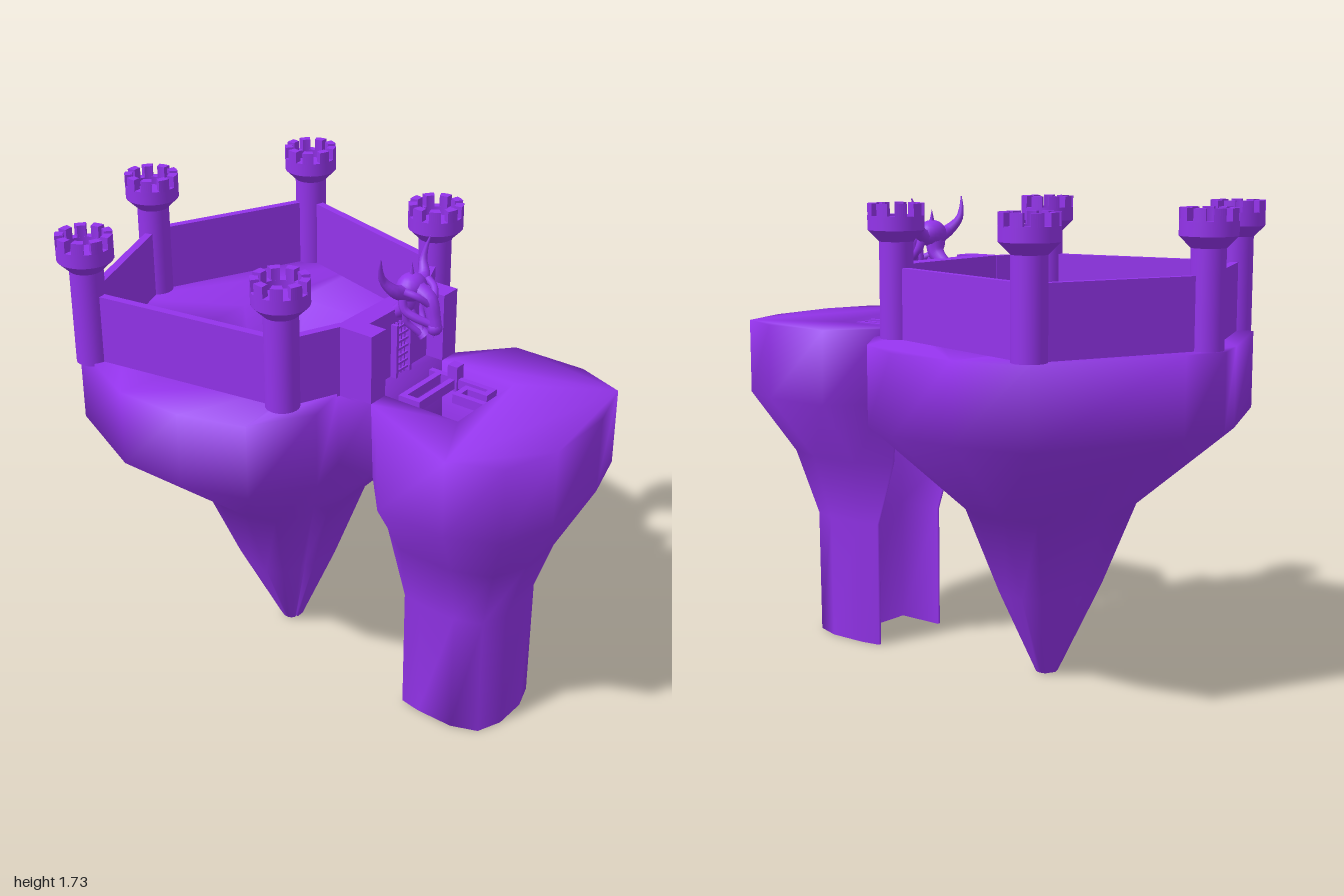
import * as THREE from 'three';

const material = new THREE.MeshStandardMaterial({ color: 0x9333ea, side: THREE.DoubleSide });
const TOP = 1.25, WALL = 1.5;

function add(parent, name, geometry, x = 0, y = 0, z = 0) {
  const mesh = new THREE.Mesh(geometry, material);
  mesh.name = name;
  mesh.position.set(x, y, z);
  parent.add(mesh);
  return mesh;
}

// Box given by its extents
function block(parent, name, x0, x1, y0, y1, z0, z1) {
  return add(parent, name, new THREE.BoxGeometry(x1 - x0, y1 - y0, z1 - z0),
    (x0 + x1) / 2, (y0 + y1) / 2, (z0 + z1) / 2);
}

// Skins rings of [x, y, z] (counter-clockwise from above) and caps both ends;
// an optional second stack of rings sinks a pit into the top cap
function loft(rings, pit = []) {
  const pos = [], idx = [];
  const flat = (r) => r.map((p) => new THREE.Vector2(p[0], -p[2]));
  const stack = (list) => {
    const starts = list.map((r) => {
      const s = pos.length / 3;
      r.forEach((p) => pos.push(...p));
      return s;
    });
    for (let k = 0; k + 1 < list.length; k++) {
      const n = list[k].length;
      for (let i = 0; i < n; i++) {
        const j = (i + 1) % n, a = starts[k], b = starts[k + 1];
        idx.push(a + i, a + j, b + j, a + i, b + j, b + i);
      }
    }
    return starts;
  };
  const cap = (ring, start, up, hole, holeStart) => {
    const pts = flat(ring), holes = hole ? [flat(hole)] : [];
    const all = pts.concat(...holes);
    const id = (i) => (i < pts.length ? start + i : holeStart + i - pts.length);
    for (const t of THREE.ShapeUtils.triangulateShape(pts, holes)) {
      const ccw = THREE.ShapeUtils.area(t.map((i) => all[i])) > 0;
      const [a, b, c] = t.map(id);
      if (ccw === up) idx.push(a, b, c); else idx.push(a, c, b);
    }
  };
  const s = stack(rings), q = stack(pit), end = rings.length - 1;
  cap(rings[0], s[0], false);
  cap(rings[end], s[end], true, pit[0], q[0]);
  if (pit.length) cap(pit[pit.length - 1], q[q.length - 1], true);
  const g = new THREE.BufferGeometry();
  g.setAttribute('position', new THREE.Float32BufferAttribute(pos, 3));
  g.setIndex(idx);
  g.computeVertexNormals();
  return g;
}

// Curved rod whose radius runs from r0 to r1
function taperTube(points, r0, r1, sides = 8) {
  const curve = new THREE.CatmullRomCurve3(points.map((p) => new THREE.Vector3(...p)));
  const n = 14, g = new THREE.TubeGeometry(curve, n, 1, sides, false);
  const p = g.attributes.position, v = new THREE.Vector3();
  for (let i = 0; i < p.count; i++) {
    const t = Math.floor(i / (sides + 1)) / n, c = curve.getPointAt(t);
    v.fromBufferAttribute(p, i).sub(c).multiplyScalar(r0 + (r1 - r0) * t).add(c);
    p.setXYZ(i, v.x, v.y, v.z);
  }
  return g;
}

// Large rock: a wide plan shrinking to a tip, with a pit in its top
function castleRock() {
  const plan = [[0, -0.98], [-0.15, -0.93], [-0.56, -0.76], [-0.72, -0.4], [-0.72, -0.14], [-0.64, 0.1],
    [-0.43, 0.23], [-0.26, 0.19], [-0.26, 0.33], [0.24, 0.33], [0.24, 0.19], [0.42, 0.21], [0.61, 0.07],
    [0.72, -0.14], [0.72, -0.4], [0.66, -0.67], [0.15, -0.92]];
  const levels = [[0, 0.06, -0.25], [0.32, 0.275, -0.265], [0.64, 0.46, -0.275], [0.97, 1, -0.33], [TOP, 1, -0.33]];
  const rings = levels.map(([y, s, cz]) => plan.map(([x, z]) => [x * s, y, cz + (z + 0.33) * s]));
  const rim = [[-0.29, 0.05], [0.26, 0.06], [0.27, -0.4], [0.2, -0.47], [0.08, -0.53], [-0.08, -0.53],
    [-0.24, -0.46], [-0.29, -0.32]];
  const pit = [[TOP, 1], [0.97, 0.84]].map(([y, s]) =>
    rim.map(([x, z]) => [-0.01 + (x + 0.01) * s, y, -0.24 + (z + 0.24) * s]));
  return loft(rings, pit);
}

// Small rock: a pillar with a slot running down its back
function frontRock() {
  const outer = [[-0.26, 0.33], [-0.43, 0.48], [-0.43, 0.75], [-0.35, 0.93], [-0.15, 1], [0.13, 1],
    [0.34, 0.94], [0.41, 0.76], [0.41, 0.48], [0.24, 0.33]];
  const levels = [[0, 0.464, 0.44, 0.8], [0.48, 0.475, 0.44, 0.8], [0.73, 0.63, 0.36, 0.88],
    [0.97, 1, 0.34, 1], [TOP, 1, 0.33, 1]];
  return loft(levels.map(([y, s, zb, zf]) => [
    [-0.18, y, 0.63], [-0.18, y, zb],
    ...outer.map(([x, z], i) => {
      let dx = (x + 0.01) * s;
      if (i === 0 || i === 9) dx = Math.sign(dx) * Math.max(Math.abs(dx), 0.182);
      return [dx - 0.01, y, zb + ((z - 0.33) / 0.67) * (zf - zb)];
    }),
    [0.16, y, zb], [0.16, y, 0.63]]));
}

function tower(parent, x, z) {
  const g = new THREE.Group();
  g.name = 'tower';
  g.position.set(x, 0, z);
  parent.add(g);
  const profile = [[0, 1.24], [0.06, 1.24], [0.06, 1.59], [0.1, 1.63], [0.1, 1.68], [0.07, 1.68], [0.07, 1.65], [0, 1.65]];
  // Repeated points keep the corners of the profile crisp
  const pts = profile.flatMap(([r, y]) => [new THREE.Vector2(r, y), new THREE.Vector2(r, y + 1e-5)]);
  add(g, 'towerShaft', new THREE.LatheGeometry(pts, 28));
  const count = 9, arc = (Math.PI * 2) / count;
  for (let i = 0; i < count; i++) {
    const a = i * arc, b = a + arc * 0.62, shape = new THREE.Shape();
    shape.absarc(0, 0, 0.1, a, b, false);
    shape.absarc(0, 0, 0.07, b, a, true);
    const geo = new THREE.ExtrudeGeometry(shape, { depth: 0.045, bevelEnabled: false, curveSegments: 3 });
    add(g, 'merlon', geo.rotateX(-Math.PI / 2), 0, 1.677, 0);
  }
}

function wall(parent, [x0, z0], [x1, z1]) {
  const len = Math.hypot(x1 - x0, z1 - z0);
  const m = add(parent, 'curtainWall', new THREE.BoxGeometry(len, WALL - TOP + 0.01, 0.03),
    (x0 + x1) / 2, (WALL + TOP - 0.01) / 2, (z0 + z1) / 2);
  m.rotation.y = -Math.atan2(z1 - z0, x1 - x0);
}

// Horned beast skull over the gate
function skull() {
  const g = new THREE.Group();
  g.name = 'hornedSkull';
  g.position.x = -0.01;
  add(g, 'cranium', new THREE.SphereGeometry(1, 18, 12).scale(0.06, 0.05, 0.05), 0, 1.59, 0.31);
  add(g, 'snout', taperTube([[0, 1.59, 0.33], [0, 1.56, 0.385], [0, 1.5, 0.405], [0, 1.46, 0.415]], 0.034, 0.022, 10));
  add(g, 'nose', new THREE.SphereGeometry(0.027, 12, 8), 0, 1.465, 0.41);
  add(g, 'crest', new THREE.ConeGeometry(0.015, 0.07, 8), 0, 1.645, 0.31);
  add(g, 'neck', taperTube([[0, 1.58, 0.3], [0, 1.52, 0.29], [0, 1.48, 0.25]], 0.035, 0.025));
  add(g, 'lowerJaw', taperTube([[0, 1.5, 0.31], [0, 1.45, 0.335], [0, 1.425, 0.37]], 0.014, 0.024));
  for (const s of [-1, 1]) {
    add(g, 'horn', taperTube([[s * 0.04, 1.58, 0.31], [s * 0.085, 1.6, 0.3], [s * 0.115, 1.64, 0.275],
      [s * 0.13, 1.68, 0.275], [s * 0.142, 1.725, 0.285]], 0.03, 0.002));
    add(g, 'brow', taperTube([[s * 0.07, 1.6, 0.33], [s * 0.05, 1.585, 0.37], [s * 0.015, 1.55, 0.395]], 0.014, 0.012));
    add(g, 'cheekArch', taperTube([[s * 0.055, 1.58, 0.31], [s * 0.06, 1.53, 0.325], [s * 0.045, 1.505, 0.36],
      [s * 0.02, 1.485, 0.4]], 0.016, 0.014));
    add(g, 'jawHinge', taperTube([[s * 0.055, 1.54, 0.32], [s * 0.045, 1.48, 0.325], [s * 0.015, 1.435, 0.36]], 0.01, 0.012));
    for (let i = 0; i < 3; i++) {
      add(g, 'tooth', new THREE.ConeGeometry(0.006, 0.03, 6).rotateX(Math.PI), s * (0.012 + i * 0.007), 1.447 + i * 0.012, 0.415 - i * 0.018);
    }
  }
  return g;
}

export function createModel() {
  const model = new THREE.Group();
  model.name = 'floatingCastle';
  add(model, 'castleRock', castleRock());
  add(model, 'frontRock', frontRock());
  block(model, 'pitStep', -0.03, 0.02, 1.2, 1.255, 0, 0.07);

  // Towers, and the walls running round between them to the gatehouse
  const spots = [[-0.45, 0.1], [-0.58, -0.67], [-0.005, -0.9], [0.6, -0.62], [0.4, 0.12]];
  spots.forEach(([x, z]) => tower(model, x, z));
  const line = [[-0.24, 0.19], ...spots, [0.22, 0.2]];
  for (let i = 0; i + 1 < line.length; i++) wall(model, line[i], line[i + 1]);

  // Gatehouse: two wings and a recessed centre
  block(model, 'gateWing', -0.26, -0.18, TOP - 0.01, WALL, 0.18, 0.33);
  block(model, 'gateWing', 0.16, 0.24, TOP - 0.01, WALL, 0.18, 0.33);
  block(model, 'gateWall', -0.18, 0.16, TOP - 0.01, WALL, 0.18, 0.26);

  // Latticed gate
  const gate = new THREE.Group();
  gate.name = 'gate';
  model.add(gate);
  for (const x of [-0.055, 0.025]) block(gate, 'gatePost', x, x + 0.012, TOP, 1.45, 0.25, 0.285);
  for (let i = 0; i < 3; i++) block(gate, 'gateBar', -0.033 + i * 0.02, -0.027 + i * 0.02, TOP, 1.45, 0.26, 0.272);
  for (let i = 0; i < 7; i++) block(gate, 'gateRail', -0.05, 0.03, 1.262 + i * 0.028, 1.27 + i * 0.028, 0.26, 0.277);
  model.add(skull());

  // Winding walkway over the slot
  const paths = [[[0.09, 0.33], [0.09, 0.59], [0.05, 0.59], [0.05, 0.51], [-0.01, 0.51], [-0.01, 0.64]],
    [[0.09, 0.37], [-0.13, 0.37], [-0.13, 0.435], [0.09, 0.435]]];
  const w = 0.011;
  for (const p of paths) {
    for (let i = 0; i + 1 < p.length; i++) {
      const [[a, b], [c, d]] = [p[i], p[i + 1]];
      block(model, 'walkway', Math.min(a, c) - w, Math.max(a, c) + w, 1.21, 1.245, Math.min(b, d) - w, Math.max(b, d) + w);
    }
  }
  block(model, 'walkwayPost', 0.07, 0.11, 1.2, 1.295, 0.415, 0.455);
  return model;
}
